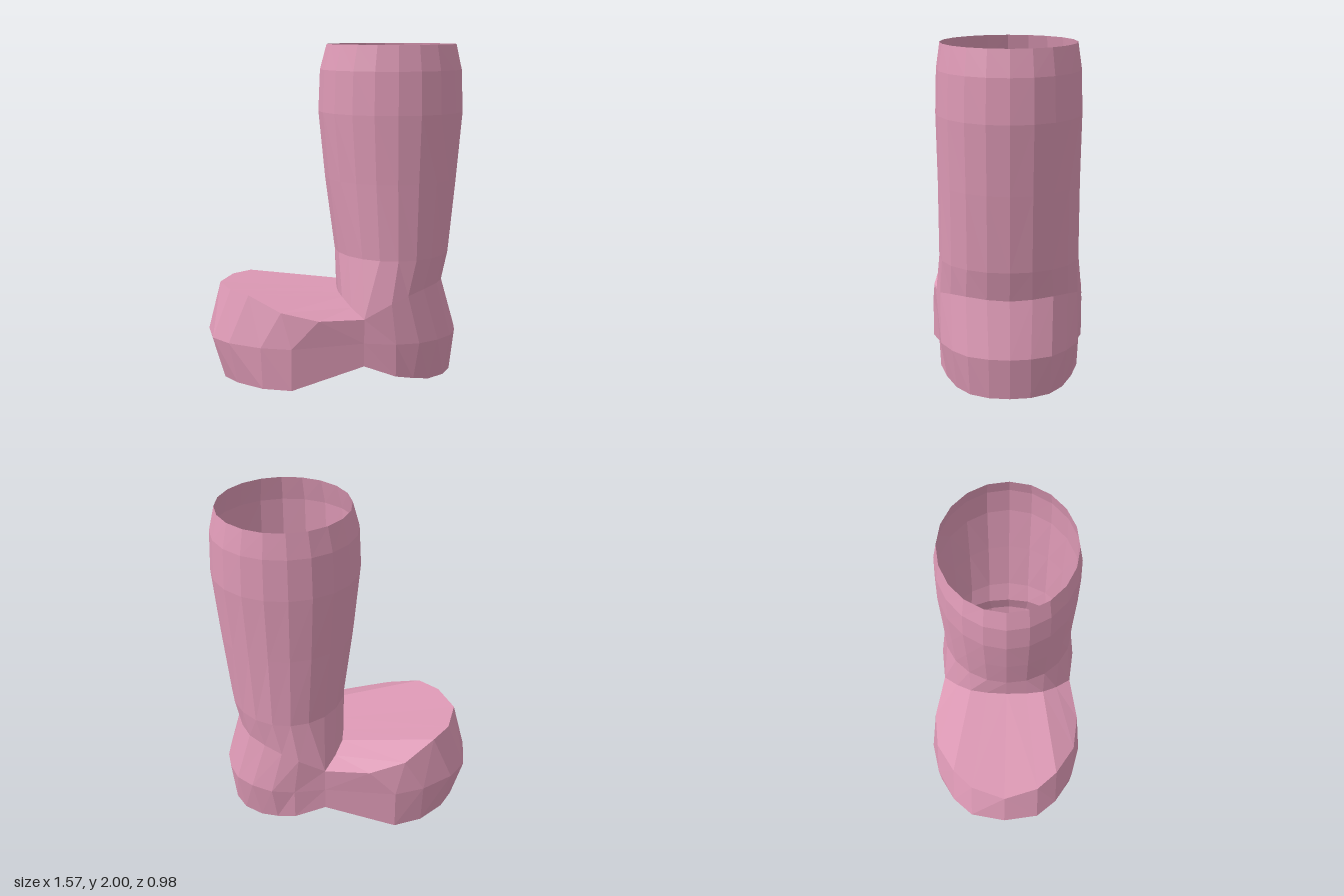
import * as THREE from 'three';

// Half outlines, toe (-x) to heel (+x), as [x, y, z]; mirrored in z to close each ring
const soleHalf = [
  [-0.71, 0, 0], [-0.68, 0, 0.2], [-0.6, 0, 0.32], [-0.45, 0, 0.44], [-0.28, 0, 0.488], [0.15, 0.12, 0.42],
  [0.34, 0.05, 0.41], [0.45, 0.025, 0.37], [0.55, 0, 0.31], [0.65, 0, 0.23], [0.705, 0, 0.12], [0.72, 0, 0],
];
const midHalf = [
  [-0.785, 0.25, 0], [-0.75, 0.25, 0.215], [-0.65, 0.25, 0.335], [-0.46, 0.25, 0.445], [-0.28, 0.25, 0.488], [0.15, 0.26, 0.42],
  [0.34, 0.25, 0.42], [0.48, 0.25, 0.4], [0.6, 0.25, 0.33], [0.69, 0.25, 0.24], [0.735, 0.25, 0.12], [0.75, 0.25, 0],
];
const heelTop = [
  [0.31, 0.5, 0.435], [0.41, 0.54, 0.405], [0.51, 0.565, 0.34], [0.6, 0.58, 0.25], [0.645, 0.575, 0.13], [0.66, 0.57, 0],
];
const toeTop = [
  [-0.71, 0.545, 0], [-0.64, 0.545, 0.21], [-0.53, 0.54, 0.33], [-0.34, 0.46, 0.445], [-0.12, 0.412, 0.47], [0.15, 0.405, 0.42],
];
const throat = [
  [0.01, 0.5, 0], [0.015, 0.5, 0.13], [0.03, 0.5, 0.24], [0.08, 0.455, 0.33], [0.15, 0.405, 0.42], [0.15, 0.405, 0.42],
];

// Rise of the hollow along the middle of the sole, per outline point
const soleLift = [0, 0.01, 0.03, 0.065, 0.105, 0.045, 0.06, 0.06, 0.045, 0.02, 0.005, 0];

// Columns 4 and 5 of the foot merge into one column of the shaft
const angles = [0, 18, 36, 54, 72, 72, 90, 108, 126, 144, 162, 180];

function shaftHalf([y, xMin, xMax, rz]) {
  const cx = (xMin + xMax) / 2, rx = (xMax - xMin) / 2;
  return angles.map((deg) => {
    const a = THREE.MathUtils.degToRad(deg);
    return [cx - rx * Math.cos(a), y, rz * Math.sin(a)];
  });
}

const mirrorZ = ([x, y, z]) => [x, y, -z];
const closeRing = (half) => [...half, ...half.slice(1, -1).reverse().map(mirrorZ)];

// Adds a triangle unless two corners coincide
function addTri(out, a, b, c) {
  const same = (p, q) => p.every((v, i) => Math.abs(v - q[i]) < 1e-6);
  if (!same(a, b) && !same(b, c) && !same(a, c)) out.push(...a, ...b, ...c);
}

// Quad split along a-c
function addQuad(out, a, b, c, d) {
  addTri(out, a, b, c);
  addTri(out, a, c, d);
}

function makeMesh(name, positions, material) {
  const geometry = new THREE.BufferGeometry();
  geometry.setAttribute('position', new THREE.Float32BufferAttribute(positions, 3));
  geometry.computeVertexNormals();
  const mesh = new THREE.Mesh(geometry, material);
  mesh.name = name;
  return mesh;
}

// Skin between successive rings, bottom to top; the diagonals mirror in z
function loft(halves) {
  const out = [];
  const rings = halves.map(closeRing);
  for (let r = 0; r < rings.length - 1; r++) {
    const lo = rings[r], hi = rings[r + 1], n = lo.length;
    for (let i = 0; i < n; i++) {
      const j = (i + 1) % n;
      if (i < n / 2) addQuad(out, lo[j], hi[j], hi[i], lo[i]);
      else addQuad(out, lo[i], lo[j], hi[j], hi[i]);
    }
  }
  return out;
}

export function createModel() {
  const group = new THREE.Group();
  group.name = 'boot';
  const material = new THREE.MeshStandardMaterial({ color: 0xdd99b5, flatShading: true, side: THREE.DoubleSide });

  // Arched sole, hollowed gently towards its middle line
  const sole = [];
  const rows = soleHalf.map(([x, y, z], i) =>
    [1, 0.5, 0, -0.5, -1].map((t) => [x, y + soleLift[i] * (1 - t * t), z * t]));
  for (let i = 0; i < rows.length - 1; i++) {
    for (let k = 0; k < 4; k++) addQuad(sole, rows[i][k], rows[i][k + 1], rows[i + 1][k + 1], rows[i + 1][k]);
  }
  group.add(makeMesh('sole', sole, material));

  // Foot with rounded toe, heel and instep
  const neck = [...throat, ...heelTop];
  group.add(makeMesh('foot', loft([soleHalf, midHalf, [...toeTop, ...heelTop], neck]), material));

  // Open shaft: height, front x, back x, half width
  const shaftRings = [
    [0.75, 0, 0.7, 0.41],
    [1.2, -0.06, 0.745, 0.412],
    [1.6, -0.1, 0.78, 0.42],
    [1.85, -0.09, 0.77, 0.412],
    [2, -0.05, 0.735, 0.39],
  ].map(shaftHalf);
  group.add(makeMesh('shaft', loft([neck, ...shaftRings]), material));

  return group;
}
